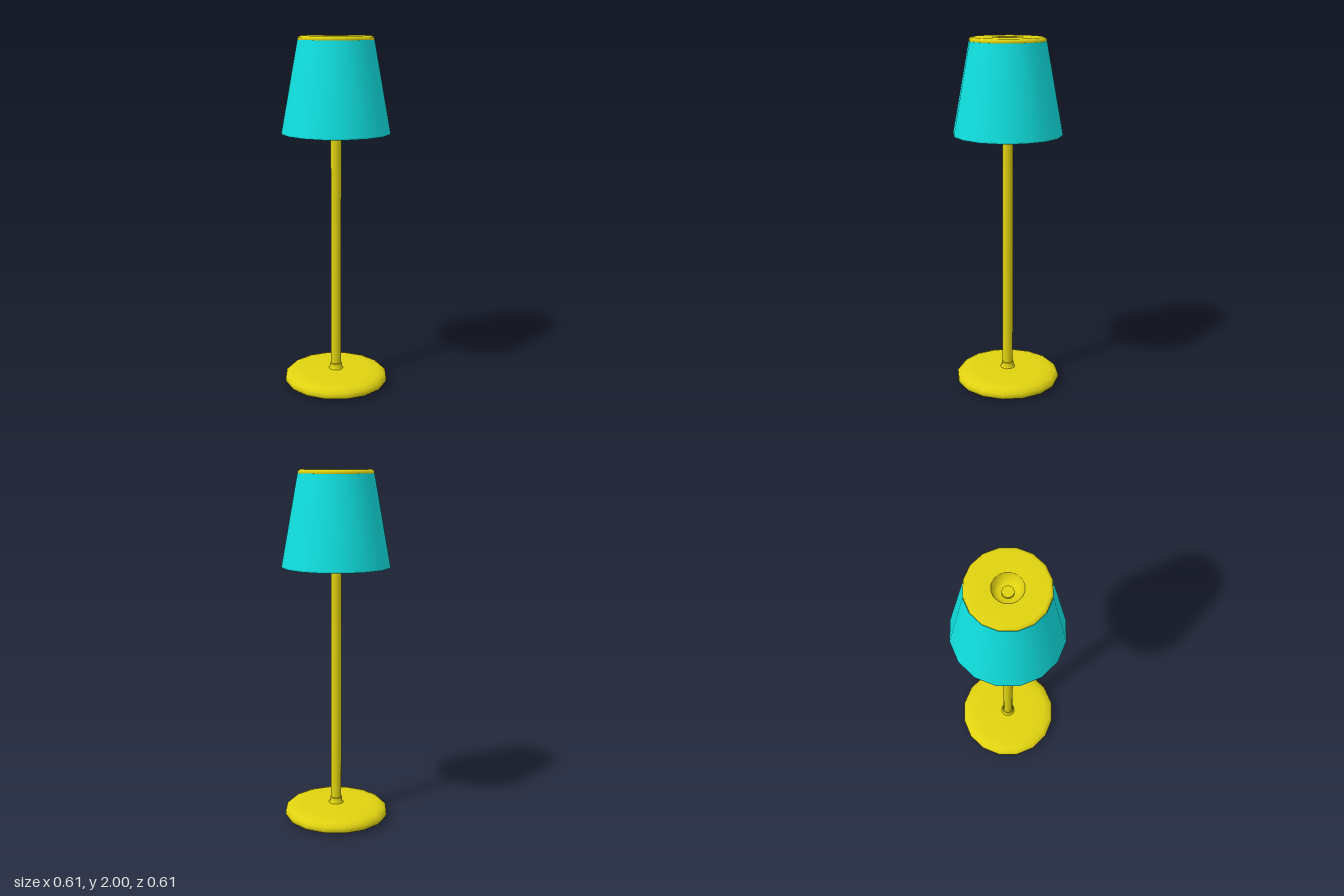
import * as THREE from 'three';

const SIDES = 16;

// Revolve a profile of [radius, height] pairs; a repeated point makes a sharp edge.
function turned(name, profile, material, sides = SIDES) {
  const points = profile.map(([r, y]) => new THREE.Vector2(r, y));
  const mesh = new THREE.Mesh(new THREE.LatheGeometry(points, sides), material);
  mesh.name = name;
  return mesh;
}

export function createModel() {
  const yellow = new THREE.MeshStandardMaterial({ color: 0xe0d210 });
  yellow.name = 'yellow metal';
  const cyan = new THREE.MeshStandardMaterial({ color: 0x10e0e0 });
  cyan.name = 'cyan shade';

  const lamp = new THREE.Group();
  lamp.name = 'tableLamp';

  // Rounded foot disc
  lamp.add(turned('base', [
    [0, 0], [0.16, 0], [0.27, 0.01], [0.27, 0.01], [0.295, 0.016], [0.3, 0.03], [0.298, 0.048],
    [0.28, 0.065], [0.25, 0.075], [0.2, 0.08], [0.03, 0.083],
  ], yellow));

  // Small collar where the pole enters the base
  lamp.add(turned('collar', [
    [0.045, 0.08], [0.036, 0.09], [0.034, 0.115], [0.034, 0.115], [0.028, 0.118],
  ], yellow));

  // Pole running up into the cap
  lamp.add(turned('pole', [
    [0.03, 0.08], [0.03, 1.955], [0.03, 1.955], [0, 1.955],
  ], yellow));

  // Thick-walled tapered shade: inner wall, rounded lower lip, outer wall
  lamp.add(turned('shade', [
    [0.185, 1.975], [0.25, 1.53], [0.255, 1.495], [0.265, 1.48], [0.285, 1.472],
    [0.303, 1.472], [0.303, 1.472], [0.304, 1.48], [0.304, 1.48], [0.212, 1.978],
    [0.212, 1.978], [0.185, 1.978],
  ], cyan));

  // Top cap with a dished central recess, closed underneath
  lamp.add(turned('cap', [
    [0.028, 1.93], [0.205, 1.965], [0.205, 1.965], [0.211, 1.98], [0.21, 1.992],
    [0.195, 2], [0.085, 2], [0.079, 1.994], [0.079, 1.994], [0.07, 1.955],
    [0.05, 1.943], [0.028, 1.94],
  ], yellow));

  return lamp;
}
